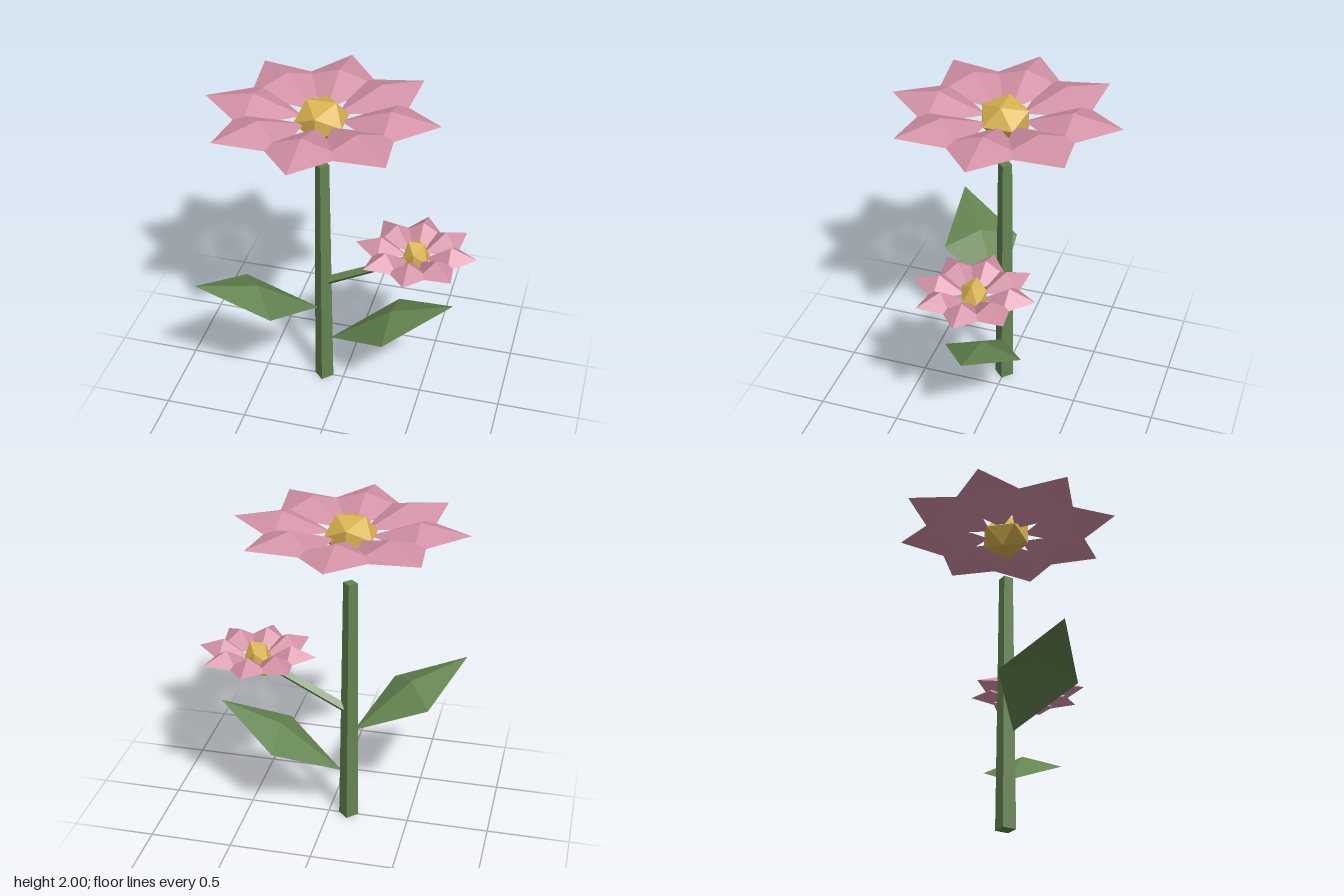
import * as THREE from 'three';

const V = (x, y, z) => new THREE.Vector3(x, y, z);

// Folded diamond blade: two side corners on the chord, one raised ridge point
function bladeGeometry(base, tip, halfWidth, rise) {
  const mid = base.clone().lerp(tip, 0.5);
  const side = tip.clone().sub(base).cross(V(0, 1, 0)).setLength(halfWidth);
  const right = mid.clone().add(side);
  const left = mid.clone().sub(side);
  const ridge = mid.clone().add(V(0, rise, 0));
  const geo = new THREE.BufferGeometry().setFromPoints([
    base, right, ridge,
    right, tip, ridge,
    tip, left, ridge,
    left, base, ridge,
  ]);
  geo.computeVertexNormals();
  return geo;
}

// Four-sided tapered rod between two points
function rod(from, to, r0, r1, material, name) {
  const dir = to.clone().sub(from);
  const mesh = new THREE.Mesh(new THREE.CylinderGeometry(r1, r0, dir.length(), 4), material);
  mesh.position.copy(from).addScaledVector(dir, 0.5);
  mesh.quaternion.setFromUnitVectors(V(0, 1, 0), dir.normalize());
  mesh.name = name;
  return mesh;
}

export function createModel() {
  const green = new THREE.MeshStandardMaterial({ color: 0x648450, flatShading: true, side: THREE.DoubleSide });
  green.name = 'leaf green';
  const pink = new THREE.MeshStandardMaterial({ color: 0xd291a5, flatShading: true, side: THREE.DoubleSide });
  pink.name = 'petal pink';
  const gold = new THREE.MeshStandardMaterial({ color: 0xd9b250, flatShading: true });
  gold.name = 'centre gold';

  const model = new THREE.Group();
  model.name = 'flowerPlant';

  // Stem and side branch
  model.add(rod(V(-0.125, 0, 0), V(-0.125, 1.59, 0), 0.06, 0.043, green, 'stem'));
  model.add(rod(V(-0.095, 0.762, 0), V(0.43, 1.03, 0), 0.03, 0.025, green, 'branch'));

  // Leaves
  const leaves = [
    ['rightLeaf', V(-0.145, 0.58, 0.05), V(-0.765, 0.94, 0.48)],
    ['leftLeaf', V(-0.08, 0.31, 0), V(0.68, 0.715, 0)],
  ];
  for (const [name, base, tip] of leaves) {
    const leaf = new THREE.Mesh(bladeGeometry(base, tip, 0.24, 0.085), green);
    leaf.name = name;
    model.add(leaf);
  }

  // Flower head: eight overlapping petals around a faceted centre
  function flower(name, x, y, f) {
    const group = new THREE.Group();
    group.name = name;
    group.position.set(x, y, 0);
    const geo = bladeGeometry(V(f.inner, f.baseY, 0), V(f.outer, f.tipY, 0), f.halfWidth, f.rise);
    for (let i = 0; i < 8; i++) {
      const petal = new THREE.Mesh(geo, pink);
      petal.rotation.y = (i * Math.PI) / 4;
      petal.name = 'petal';
      group.add(petal);
    }
    const centre = new THREE.Mesh(new THREE.IcosahedronGeometry(f.radius, 0), gold);
    centre.scale.y = f.stretch;
    centre.name = 'flowerCentre';
    group.add(centre);
    model.add(group);
  }
  flower('mainFlower', -0.125, 1.89, {
    inner: 0.11, outer: 0.68, baseY: 0, tipY: 0.05, halfWidth: 0.24, rise: 0.078, radius: 0.163, stretch: 0.8,
  });
  flower('smallFlower', 0.44, 1.03, {
    inner: 0.055, outer: 0.362, baseY: 0.01, tipY: 0.052, halfWidth: 0.125, rise: 0.08, radius: 0.089, stretch: 1.48,
  });

  return model;
}
